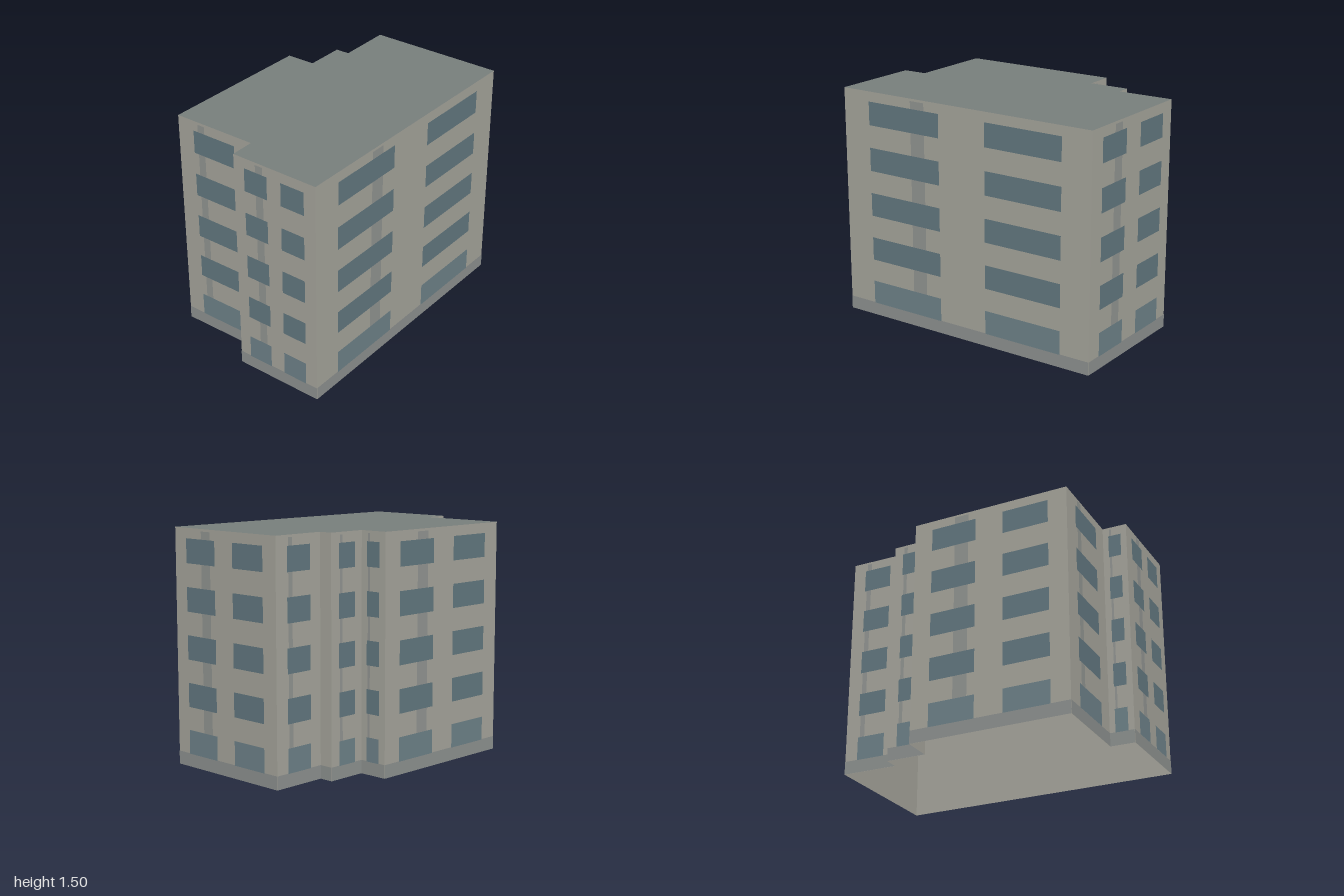
import * as THREE from 'three';

const HEIGHT = 1.5, FLOORS = 5, STOREY = 0.3, PLINTH = 0.085;

// Footprint corners [x, z], walked left to right as seen from outside.
// Each carries the windows of the wall that starts there:
// centres and width, as fractions of the wall length.
const one = { centres: [0.5], width: 0.52 };
const two = { centres: [0.265, 0.735], width: 0.292 };
const plan = [
  { at: [-0.762, 0.588], windows: { centres: [0.495], width: 0.56 } },
  { at: [-0.199, 0.710], windows: one },
  { at: [-0.230, 0.866], windows: { centres: [0.275, 0.725], width: 0.28 } },
  { at: [0.360, 1.000], windows: { centres: [0.258, 0.742], width: 0.297 }, pipe: 0.057 },
  { at: [0.757, -0.803], windows: two },
  { at: [-0.126, -1.000], windows: one },
  { at: [-0.199, -0.642], windows: null },
  { at: [-0.289, -0.662], windows: one },
  { at: [-0.344, -0.405], windows: one },
  { at: [-0.532, -0.444], windows: two },
];

const paint = (color, side = THREE.FrontSide) => new THREE.MeshStandardMaterial({ color, side });

export function createModel() {
  const building = new THREE.Group();
  building.name = 'apartmentBlock';
  const mats = {
    wall: paint(0xa5a49b, THREE.DoubleSide),
    roof: paint(0x777e7b, THREE.DoubleSide),
    plinth: paint(0x8d918f),
    strip: paint(0x919491),
    glass: paint(0x62777f),
    groundGlass: paint(0x6d8188),
  };

  // Flat rectangle from (x0, y0) to (x1, y1) on a wall, raised by z
  const panel = (name, mat, x0, x1, y0, y1, z) => {
    const mesh = new THREE.Mesh(new THREE.PlaneGeometry(x1 - x0, y1 - y0), mat);
    mesh.position.set((x0 + x1) / 2, (y0 + y1) / 2, z);
    mesh.name = name;
    return mesh;
  };

  // Walls, each in its own frame: x along the wall, z outwards
  plan.forEach(({ at: [x, z], windows, pipe = 0.09 }, i) => {
    const [nx, nz] = plan[(i + 1) % plan.length].at;
    const length = Math.hypot(nx - x, nz - z);
    const side = new THREE.Group();
    side.name = 'facade' + (i + 1);
    side.position.set(x, 0, z);
    side.rotation.y = Math.atan2(z - nz, nx - x);
    building.add(side);

    side.add(panel('wall', mats.wall, 0, length, 0, HEIGHT, 0));
    side.add(panel('plinth', mats.plinth, 0, length, 0, PLINTH, 0.002));
    if (!windows) return;

    // Vertical strip running behind the windows
    const mid = 0.317 * length, half = pipe * length / 2;
    side.add(panel('verticalStrip', mats.strip, mid - half, mid + half, PLINTH, 1.485, 0.002));

    // One row of windows per floor
    for (let floor = 0; floor < FLOORS; floor++) {
      const y = 0.083 + floor * STOREY;
      for (const c of windows.centres) {
        const x0 = (c - windows.width / 2) * length, x1 = (c + windows.width / 2) * length;
        side.add(panel('window', floor ? mats.glass : mats.groundGlass, x0, x1, y, y + 0.153, 0.004));
      }
    }
  });

  // Flat roof over the footprint; the underside stays open
  const outline = new THREE.Shape(plan.map(({ at: [x, z] }) => new THREE.Vector2(x, -z)));
  const roof = new THREE.Mesh(new THREE.ShapeGeometry(outline).rotateX(-Math.PI / 2), mats.roof);
  roof.position.y = HEIGHT;
  roof.name = 'roof';
  building.add(roof);

  return building;
}
